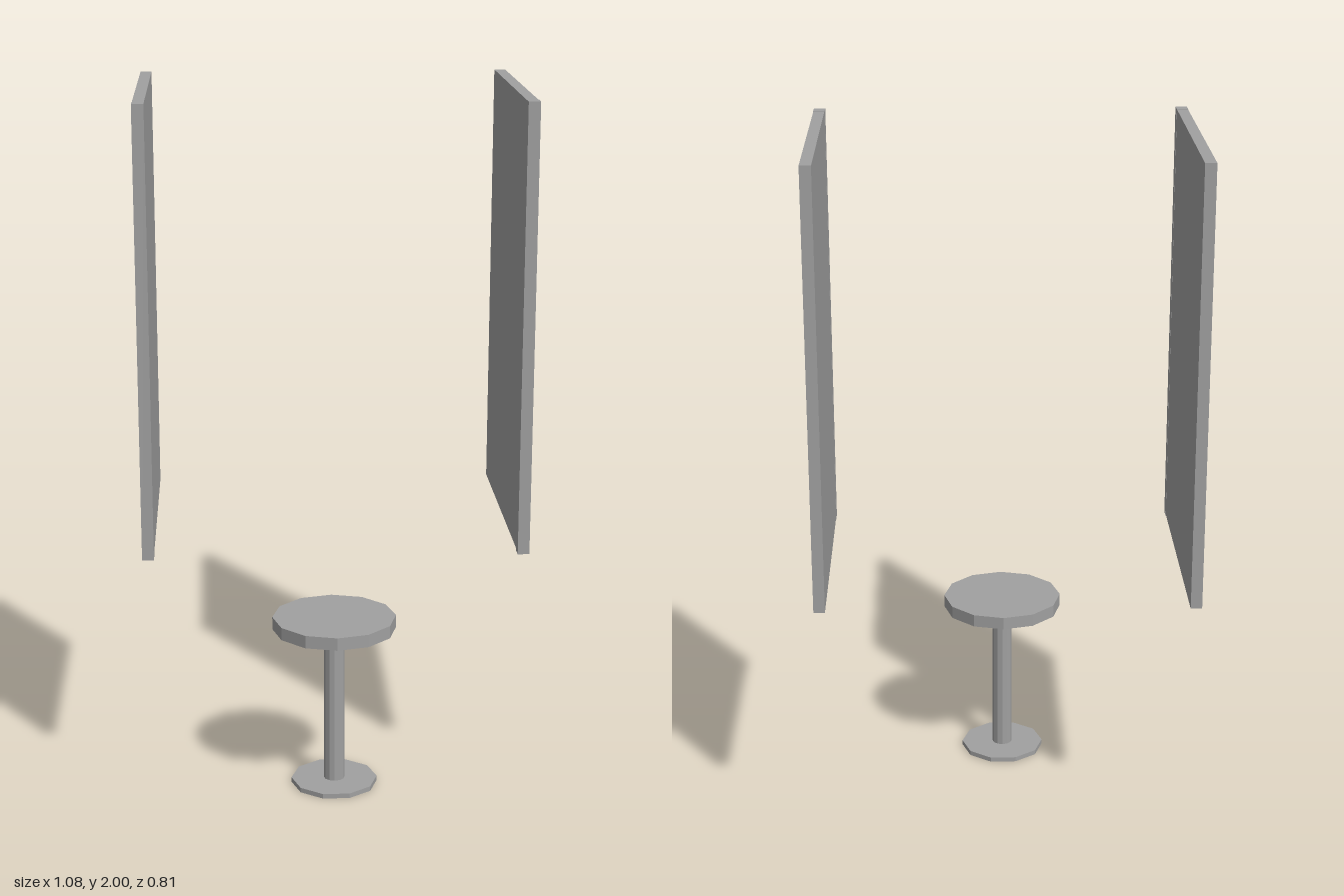
import * as THREE from 'three';

const grey = new THREE.MeshStandardMaterial({ color: 0xa0a0a0, flatShading: true });
grey.name = 'grey';

// Box given by its lower and upper corner
function box(name, min, max) {
  const size = max.map((v, i) => v - min[i]);
  const mesh = new THREE.Mesh(new THREE.BoxGeometry(...size), grey);
  mesh.position.set(...max.map((v, i) => (v + min[i]) / 2));
  mesh.name = name;
  return mesh;
}

// Upright faceted cylinder with a corner on the x axis
function disc(name, radius, sides, y0, y1) {
  const geometry = new THREE.CylinderGeometry(radius, radius, y1 - y0, sides);
  geometry.rotateY(Math.PI / 2);
  const mesh = new THREE.Mesh(geometry, grey);
  mesh.position.y = (y0 + y1) / 2;
  mesh.name = name;
  return mesh;
}

export function createModel() {
  const model = new THREE.Group();
  model.name = 'stoolBetweenPartitions';

  // Two hanging partitions, each with a slim post on its front edge
  for (const side of [-1, 1]) {
    const partition = new THREE.Group();
    partition.name = side < 0 ? 'rightPartition' : 'leftPartition';
    partition.add(
      box('panel', [-0.016, 0.741, -0.404], [0.016, 1.999, 0.31]),
      box('frontPost', [-0.0165, 0.736, 0.31], [0.0165, 2, 0.35])
    );
    partition.position.x = side * 0.5245;
    model.add(partition);
  }

  // Pedestal stool
  const stool = new THREE.Group();
  stool.name = 'stool';
  stool.add(
    disc('base', 0.125, 10, 0, 0.014),
    disc('pole', 0.03, 12, 0.014, 0.478),
    disc('seat', 0.178, 12, 0.478, 0.515)
  );
  stool.position.z = 0.226;
  model.add(stool);

  return model;
}
